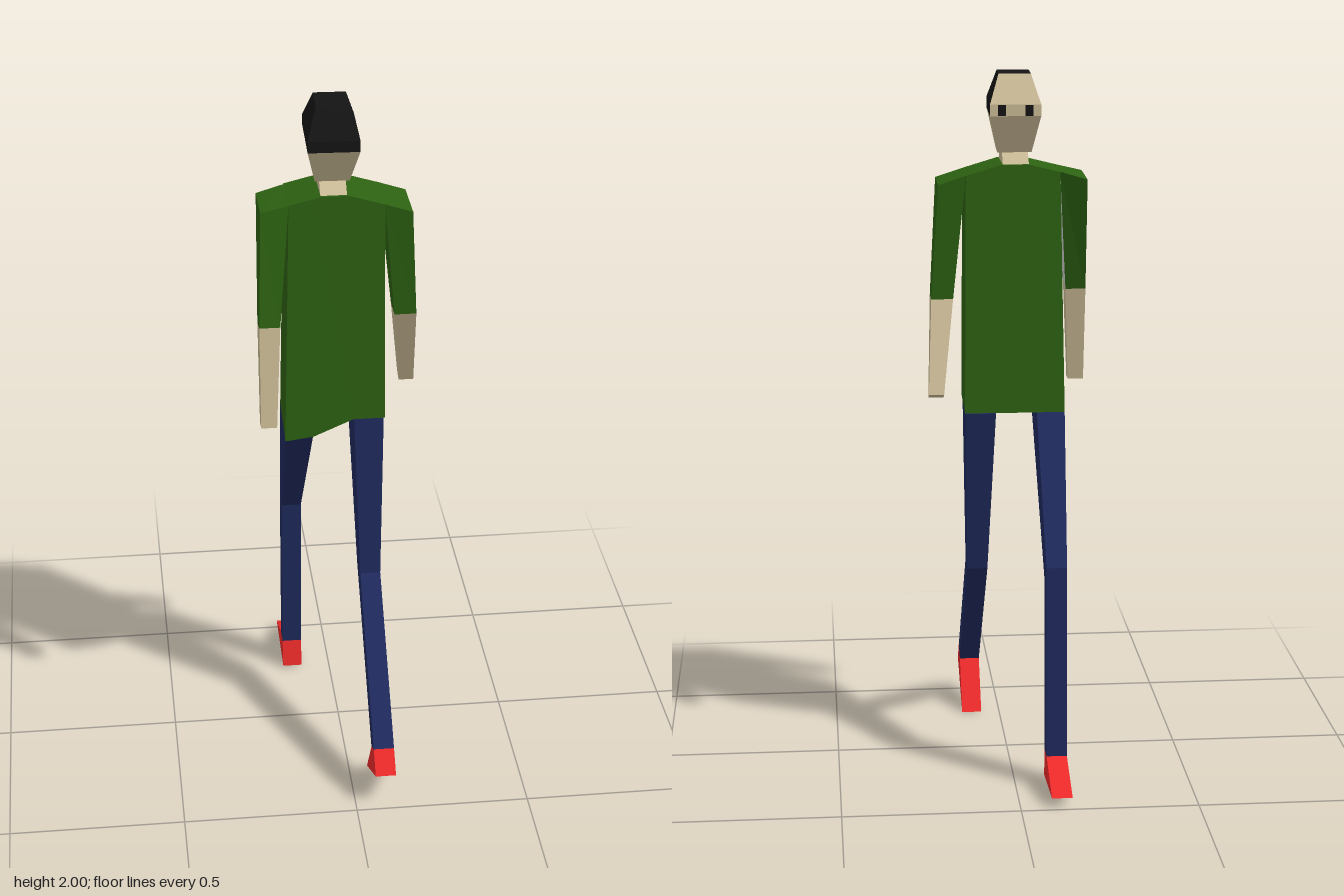
import * as THREE from 'three';

const SHIRT = 0x2d6212, PANTS = 0x1f2a5e, SHOE = 0xee2a2a, SKIN = 0xcdbd98, HAIR = 0x141414, GREY = 0xcccccc;

// Cross-section: a row of points at +z, then the same x values back along the -z side.
// Each row is [z, y] or [z, y per x].
function ring(xs, [zBack, ...yBack], [zFront, ...yFront]) {
  const row = (z, ys) => xs.map((x, i) => [x, ys.length > 1 ? ys[i] : ys[0], z]);
  return [...row(zBack, yBack), ...row(zFront, yFront).reverse()];
}

// Flat-shaded loft through rings listed from top to bottom.
// For four-cornered rings the sides are 0: +z, 1: +x, 2: -z, 3: -x.
function loft(name, color, rings, { sides = null, top = true, bottom = true } = {}) {
  const pos = [];
  const quad = (a, b, c, d) => pos.push(...a, ...b, ...c, ...a, ...c, ...d);
  const n = rings[0].length;
  for (let r = 0; r + 1 < rings.length; r++) {
    const a = rings[r], b = rings[r + 1];
    for (let i = 0; i < n; i++) {
      if (sides && !sides.includes(i)) continue;
      const j = (i + 1) % n;
      quad(a[i], b[i], b[j], a[j]);
    }
  }
  const cap = (c, up) => {
    for (let k = 0; k < n / 2 - 1; k++) {
      const q = [c[k], c[k + 1], c[n - 2 - k], c[n - 1 - k]];
      quad(...(up ? q : q.reverse()));
    }
  };
  if (top) cap(rings[0], true);
  if (bottom) cap(rings[rings.length - 1], false);
  const geo = new THREE.BufferGeometry();
  geo.setAttribute('position', new THREE.Float32BufferAttribute(pos, 3));
  geo.computeVertexNormals();
  const mesh = new THREE.Mesh(geo, new THREE.MeshStandardMaterial({
    color, flatShading: true, side: THREE.DoubleSide,
  }));
  mesh.name = name;
  return mesh;
}

function group(name, ...parts) {
  const g = new THREE.Group();
  g.name = name;
  g.add(...parts);
  return g;
}

// Thigh, shin and shoe sharing their joint sections
function leg(name, hip, knee, ankle, sole) {
  return group(name,
    loft('thigh', PANTS, [hip, knee], { bottom: false }),
    loft('shin', PANTS, [knee, ankle], { top: false }),
    loft('shoe', SHOE, [ankle, sole]));
}

export function createModel() {
  const model = new THREE.Group();
  model.name = 'walkingFigure';

  // Shirt body with sloping shoulders and a stepped hem
  const hem = ring([-0.16, -0.08, 0.035, 0.125], [0.08, 1.0, 1.01, 1.06, 1.06], [-0.08, 1.04]);
  model.add(group('shirt',
    loft('shirtBody', SHIRT, [
      ring([-0.055, -0.03, -0.005, 0.02], [0.085, 1.75], [-0.075, 1.75]),
      ring([-0.145, -0.08, 0.04, 0.12], [0.085, 1.728, 1.744, 1.744, 1.72], [-0.075, 1.728, 1.744, 1.744, 1.72]),
      hem,
    ], { bottom: false }),
    loft('shirtUnderside', GREY, [hem], { top: false })));

  // Arms: the right one swings to +z, the left one to -z
  const rightShoulder = ring([-0.222, -0.145], [0.085, 1.71, 1.728], [-0.07, 1.705, 1.728]);
  const rightElbow = ring([-0.233, -0.175], [0.13, 1.385], [0.06, 1.37]);
  model.add(group('rightArm',
    loft('sleeve', SHIRT, [rightShoulder, rightElbow], { sides: [0, 2, 3], bottom: false }),
    loft('sleeveInside', GREY, [rightShoulder, rightElbow], { sides: [1], top: false, bottom: false }),
    loft('forearm', SKIN, [rightElbow, ring([-0.235, -0.19], [0.163, 1.09], [0.122, 1.09])])));

  const leftShoulder = ring([0.12, 0.197], [0.085, 1.72, 1.695], [-0.075, 1.72, 1.695]);
  const leftElbow = ring([0.155, 0.217], [0.04, 1.365], [-0.04, 1.365]);
  model.add(group('leftArm',
    loft('sleeve', SHIRT, [leftShoulder, leftElbow], { bottom: false }),
    loft('forearm', SKIN, [leftElbow, ring([0.187, 0.23], [-0.09, 1.092], [-0.128, 1.108])])));

  // Legs in mid-stride
  model.add(leg('rightLeg',
    ring([-0.16, -0.08], [0.075, 1.0, 1.01], [-0.08, 1.04]),
    ring([-0.145, -0.087], [-0.243, 0.603], [-0.307, 0.645]),
    ring([-0.145, -0.087], [-0.275, 0.092], [-0.33, 0.092]),
    ring([-0.145, -0.087], [-0.26, 0.008], [-0.49, 0.03])));
  model.add(leg('leftLeg',
    ring([0.037, 0.122], [0.08, 1.06], [-0.085, 1.04]),
    ring([0.055, 0.114], [0.097, 0.555], [0.018, 0.548]),
    ring([0.055, 0.114], [0.44, 0.168], [0.386, 0.14]),
    ring([0.055, 0.114], [0.49, 0.108], [0.286, 0.0])));

  // Neck flaring into the collar
  model.add(loft('neck', SKIN, [
    ring([-0.057, 0.016], [0.035, 1.785], [-0.032, 1.785]),
    ring([-0.057, 0.016], [0.08, 1.748], [-0.07, 1.748]),
  ]));

  // Head: hair over the top, sides and back, face towards -z
  const crown = ring([-0.045, 0.045], [0.058, 2.0], [-0.05, 2.0]);
  const brow = ring([-0.071, 0.071], [0.112, 1.92], [-0.1, 1.92]);
  const cheek = ring([-0.071, 0.071], [0.112, 1.888], [-0.1, 1.888]);
  const chin = ring([-0.048, 0.048], [0.047, 1.78], [-0.04, 1.78]);
  const head = group('head',
    loft('hair', HAIR, [crown, brow, cheek], { sides: [0, 1, 3], bottom: false }),
    loft('forehead', SKIN, [crown, brow, cheek], { sides: [2], top: false, bottom: false }),
    loft('lowerHead', SKIN, [cheek, chin], { top: false }));
  for (const s of [-1, 1]) {
    const eye = new THREE.Mesh(new THREE.BoxGeometry(0.022, 0.03, 0.004),
      new THREE.MeshStandardMaterial({ color: HAIR, flatShading: true }));
    eye.name = s > 0 ? 'leftEye' : 'rightEye';
    eye.position.set(s * 0.038, 1.904, -0.1);
    head.add(eye);
  }
  head.position.x = -0.02;
  head.rotation.y = -0.03;
  model.add(head);

  return model;
}
